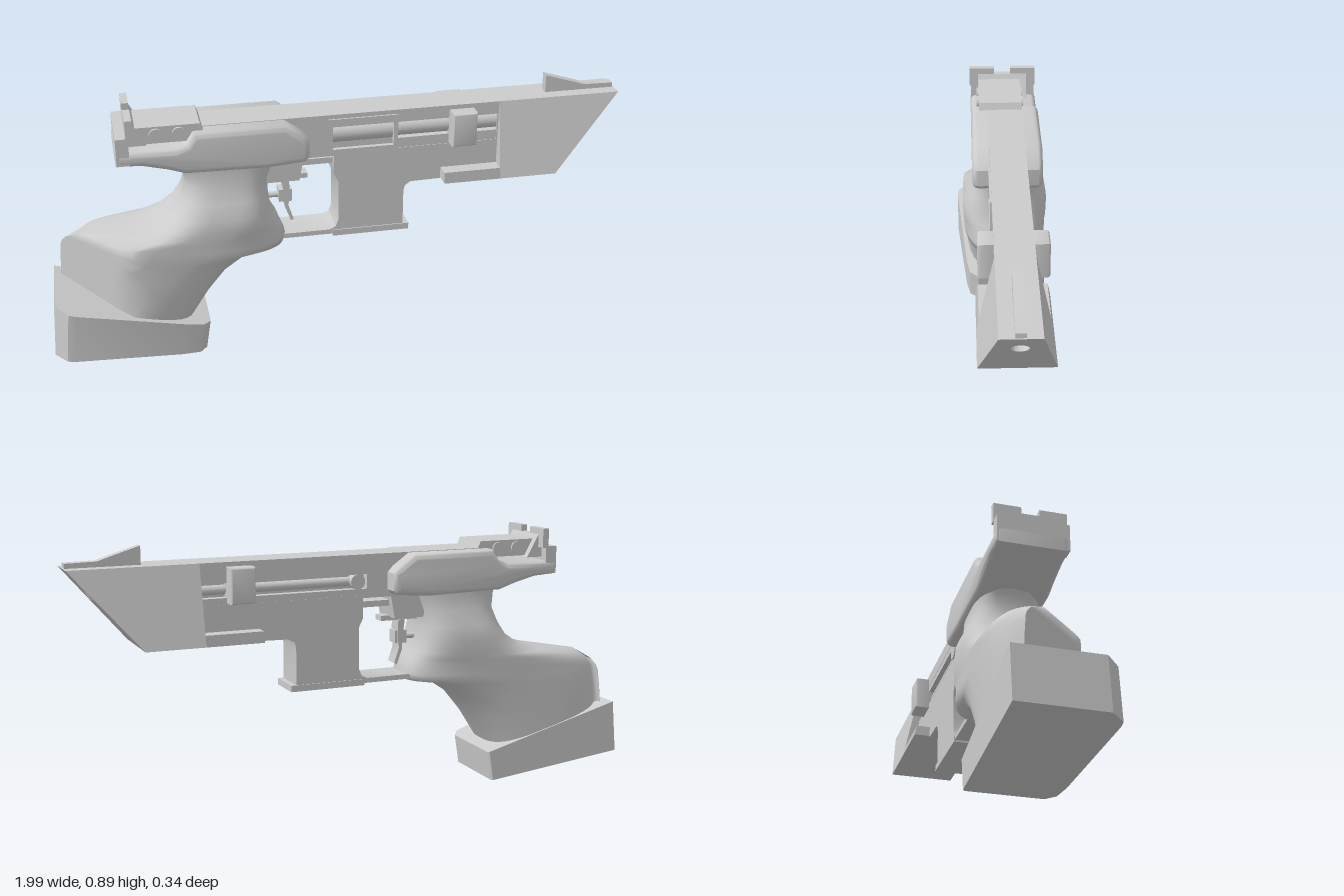
import * as THREE from 'three';
import { toCreasedNormals } from 'three/addons/utils/BufferGeometryUtils.js';

const grey = new THREE.MeshStandardMaterial({ color: 0xcccccc });
const ZC = -0.0125; // centre plane of the frame
const lerp = THREE.MathUtils.lerp;
const toPoints = (pts) => pts.map(([x, y]) => new THREE.Vector2(x, y));

export function createModel() {
  const model = new THREE.Group();

  function add(name, geometry) {
    const mesh = new THREE.Mesh(geometry, grey);
    mesh.name = name;
    model.add(mesh);
    return mesh;
  }
  // Box given by its limits on each axis
  function box(name, x0, x1, y0, y1, z0, z1) {
    const mesh = add(name, new THREE.BoxGeometry(x1 - x0, y1 - y0, z1 - z0));
    mesh.position.set((x0 + x1) / 2, (y0 + y1) / 2, (z0 + z1) / 2);
    return mesh;
  }
  // Side profile extruded between two z planes, optionally with holes or rounded edges
  function prism(name, pts, z0, z1, holes = [], bevel = 0) {
    const shape = new THREE.Shape(toPoints(pts));
    shape.holes = holes.map((h) => new THREE.Path(toPoints(h)));
    const geo = new THREE.ExtrudeGeometry(shape, {
      depth: z1 - z0 - 2 * bevel, bevelEnabled: bevel > 0, bevelThickness: bevel,
      bevelSize: bevel, bevelOffset: -bevel, bevelSegments: 5,
    });
    geo.translate(0, 0, z0 + bevel);
    return add(name, toCreasedNormals(geo, 0.7));
  }
  function rodX(name, x0, x1, y, z, r) {
    const geo = new THREE.CylinderGeometry(r, r, x1 - x0, 24).rotateZ(Math.PI / 2);
    add(name, geo).position.set((x0 + x1) / 2, y, z);
  }
  function rodZ(name, x, y, z0, z1, r) {
    const geo = new THREE.CylinderGeometry(r, r, z1 - z0, 24).rotateX(Math.PI / 2);
    add(name, geo).position.set(x, y, (z0 + z1) / 2);
  }

  // Frame with magazine well, trigger opening and side slot
  prism('frame', [
    [-0.48, 0.83], [-0.46, 0.7], [-0.32, 0.62], [-0.27, 0.383], [0.0, 0.383], [0.23, 0.383],
    [0.23, 0.525], [0.235, 0.545], [0.255, 0.558], [0.36, 0.56], [0.36, 0.59], [0.6, 0.59], [0.6, 0.83],
  ], ZC - 0.0625, ZC + 0.0625, [
    [[-0.25, 0.4], [-0.03, 0.4], [-0.01, 0.41], [0, 0.435], [0, 0.58], [-0.015, 0.61], [-0.015, 0.68],
      [-0.12, 0.68], [-0.135, 0.6], [-0.25, 0.6]],
    [[-0.03, 0.69], [0.555, 0.69], [0.555, 0.785], [-0.03, 0.785]],
  ]);
  box('slotCore', -0.04, 0.57, 0.68, 0.8, -0.045, 0.015);
  box('slotLowerFillLeft', 0.2, 0.557, 0.688, 0.725, 0.0, 0.048);
  box('slotUpperFillBack', -0.032, 0.557, 0.762, 0.787, -0.074, -0.03);
  box('slotLowerFillBack', -0.032, 0.557, 0.688, 0.712, -0.074, -0.03);
  box('magazineFloor', -0.02, 0.25, 0.376, 0.398, -0.078, 0.054);
  box('guardCatch', -0.125, -0.01, 0.643, 0.664, -0.05, 0.025);

  // Ejection port rim and bolt
  prism('portRim', [[-0.035, 0.685], [0.205, 0.685], [0.205, 0.815], [-0.035, 0.815]], 0.04, 0.056,
    [[[-0.02, 0.705], [0.19, 0.705], [0.19, 0.79], [-0.02, 0.79]]]);
  rodX('bolt', -0.02, 0.2, 0.75, 0.012, 0.033);
  rodX('boltRodFront', 0.2, 0.555, 0.755, 0.02, 0.029);
  rodX('boltRodBack', 0.0, 0.555, 0.737, -0.05, 0.016);
  rodZ('slotEndPin', 0.005, 0.737, -0.079, -0.03, 0.026);
  prism('cockingHandleFront', [[0.385, 0.695], [0.47, 0.695], [0.47, 0.815], [0.385, 0.815]],
    0.02, 0.1, [], 0.008);
  prism('cockingHandleBack', [[0.385, 0.695], [0.47, 0.695], [0.47, 0.815], [0.385, 0.815]],
    -0.125, -0.045, [], 0.008);

  // Muzzle block: trapezoid section along x, raked front face and open bore
  const section = new THREE.Shape(toPoints([
    [0.0625, 0.83], [-0.0625, 0.83], [-0.12, 0.565], [0.12, 0.565]]));
  const bore = new THREE.Path();
  bore.absarc(0, 0.75, 0.027, 0, Math.PI * 2, true);
  section.holes.push(bore);
  const block = new THREE.ExtrudeGeometry(section, { depth: 1, bevelEnabled: false, curveSegments: 16 });
  const p = block.attributes.position;
  for (let i = 0; i < p.count; i++) {
    const y = p.getY(i);
    const front = lerp(0.76, 0.99, (y - 0.565) / 0.265);
    p.setXYZ(i, lerp(0.56, front, p.getZ(i)), y, ZC - p.getX(i));
  }
  add('muzzleBlock', toCreasedNormals(block, 0.5));
  rodX('barrel', 0.58, 0.84, 0.75, ZC, 0.0275);

  // Lower rail behind the muzzle block, with the same flared sides
  const rail = new THREE.BoxGeometry(0.2, 0.037, 0.24);
  const rp = rail.attributes.position;
  for (let i = 0; i < rp.count; i++) if (rp.getY(i) > 0) rp.setZ(i, rp.getZ(i) * 0.933);
  add('lowerRail', rail).position.set(0.46, 0.5835, ZC);

  // Sights
  prism('frontSight', [[0.74, 0.828], [0.985, 0.828], [0.985, 0.846], [0.88, 0.848], [0.86, 0.855],
    [0.74, 0.892]], -0.028, 0.004);
  prism('rearSightBody', [[-0.7, 0.795], [-0.5, 0.795], [-0.48, 0.828], [-0.455, 0.828], [-0.465, 0.853],
    [-0.7, 0.853]], -0.075, 0.08);
  const blade = [[-0.132, 0.825], [0.112, 0.825], [0.112, 0.893], [0.02, 0.893], [0.02, 0.85],
    [-0.04, 0.85], [-0.04, 0.893], [-0.132, 0.893]];
  prism('rearSightBlade', blade.map(([z, y]) => [-z, y]), -0.708, -0.685).rotation.y = Math.PI / 2;
  prism('rearSightBracket', [[-0.708, 0.79], [-0.64, 0.79], [-0.685, 0.87], [-0.708, 0.87]], -0.1, 0.08);
  for (const x of [-0.61, -0.535]) rodZ('sightScrew', x, 0.825, -0.082, 0.088, 0.022);
  box('rearPlate', -0.742, -0.7, 0.735, 0.83, -0.13, 0.108);

  // Hand rest wrapped around the rear of the frame
  prism('handRest', [
    [-0.745, 0.73], [-0.66, 0.725], [-0.58, 0.705], [-0.52, 0.685], [-0.25, 0.68], [-0.18, 0.685],
    [-0.12, 0.69], [-0.107, 0.705], [-0.107, 0.765], [-0.125, 0.785], [-0.185, 0.828], [-0.49, 0.828],
    [-0.515, 0.79], [-0.55, 0.778], [-0.745, 0.778],
  ], -0.135, 0.11, [], 0.022);

  // Grip: horizontal sections [y, rear x, front x, min z, max z] from top to bottom
  const rows = [
    [0.73, -0.58, -0.19, -0.12, 0.095], [0.68, -0.53, -0.215, -0.12, 0.095],
    [0.62, -0.52, -0.24, -0.128, 0.1], [0.57, -0.535, -0.24, -0.155, 0.122],
    [0.52, -0.57, -0.235, -0.163, 0.143], [0.48, -0.63, -0.22, -0.163, 0.145],
    [0.455, -0.72, -0.205, -0.163, 0.145], [0.435, -0.88, -0.197, -0.163, 0.145],
    [0.4, -0.93, -0.183, -0.163, 0.145], [0.376, -0.945, -0.19, -0.163, 0.144],
    [0.358, -0.95, -0.3, -0.163, 0.142], [0.3, -0.955, -0.385, -0.163, 0.14],
    [0.22, -0.96, -0.45, -0.163, 0.135], [0.14, -0.96, -0.5, -0.163, 0.125],
    [0.09, -0.95, -0.53, -0.163, 0.12],
  ];
  const N = 48, verts = [], index = [];
  const soft = (v) => Math.sign(v) * Math.abs(v) ** 0.65;
  rows.forEach(([y, x0, x1, z0, z1], i) => {
    for (let j = 0; j < N; j++) {
      const a = (j / N) * Math.PI * 2;
      const x = lerp(x0, x1, (soft(Math.cos(a)) + 1) / 2);
      let z = lerp(z0, z1, (soft(Math.sin(a)) + 1) / 2);
      // Heel narrows toward the back on the palm side
      z = Math.min(z, lerp(-0.11, 0.145, (x + 0.95) / 0.23));
      verts.push(x, y, Math.max(z, z0));
      if (i < rows.length - 1) {
        const k = (j + 1) % N, r = i * N, s = r + N;
        index.push(r + j, r + k, s + j, r + k, s + k, s + j);
      }
    }
  });
  const grip = new THREE.BufferGeometry();
  grip.setAttribute('position', new THREE.Float32BufferAttribute(verts, 3));
  grip.setIndex(index);
  grip.computeVertexNormals();
  add('grip', grip);

  // Palm shelf: plan outline extruded up, then tilted top and bottom
  const plan = new THREE.Shape(toPoints([
    [-0.995, 0.168], [-0.48, 0.168], [-0.475, 0.16], [-0.475, -0.09], [-0.5, -0.122],
    [-0.56, -0.135], [-0.93, -0.168], [-0.955, -0.165], [-0.995, -0.12]]));
  const shelf = new THREE.ExtrudeGeometry(plan, { depth: 1, bevelEnabled: false });
  const sp = shelf.attributes.position;
  for (let i = 0; i < sp.count; i++) {
    const x = sp.getX(i), z = -sp.getY(i), t = sp.getZ(i), u = (x + 0.995) / 0.52;
    sp.setXYZ(i, x + lerp(-0.005, 0.012, t), lerp(lerp(0.058, 0.002, u), lerp(0.245, 0.108, u), t), z);
  }
  add('palmShelf', toCreasedNormals(shelf, 0.4));

  // Trigger and its adjusters
  prism('trigger', [[-0.19, 0.59], [-0.165, 0.59], [-0.162, 0.53], [-0.168, 0.49], [-0.15, 0.435],
    [-0.16, 0.43], [-0.18, 0.485], [-0.182, 0.53]], -0.04, 0.012);
  box('triggerBar', -0.24, -0.1, 0.588, 0.606, -0.035, 0.01);
  box('triggerShoe', -0.2, -0.155, 0.505, 0.55, -0.035, 0.01);
  rodX('triggerScrew', -0.24, -0.17, 0.525, ZC, 0.01);

  return model;
}
